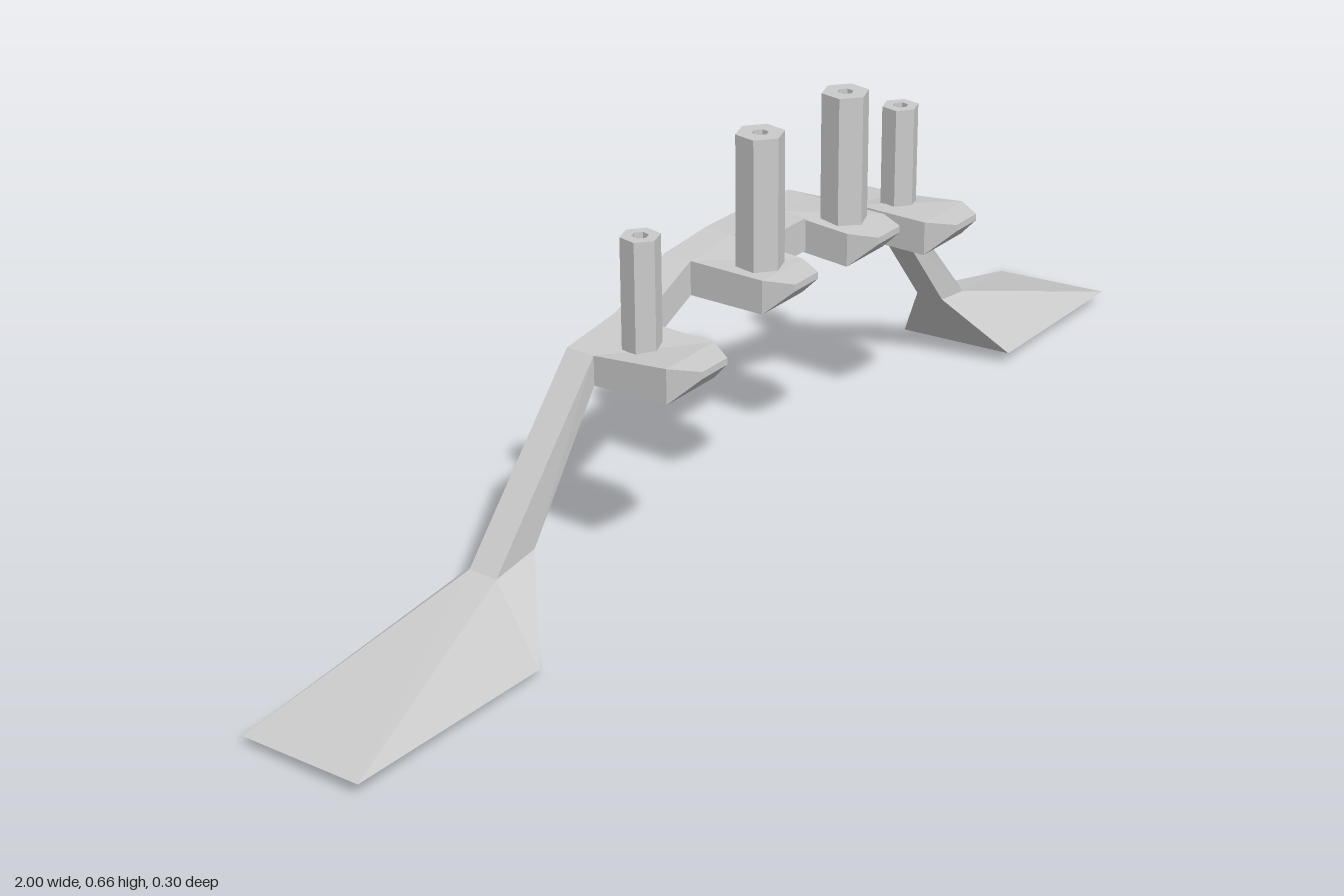
import * as THREE from 'three';

const mat = new THREE.MeshStandardMaterial({ color: 0xcccccc, flatShading: true });

function add(parent, geometry, name) {
  const mesh = new THREE.Mesh(geometry, mat);
  mesh.name = name;
  parent.add(mesh);
  return mesh;
}

// Skins a row of four-cornered sections and closes both ends.
function loft(sections) {
  const pos = [];
  const quad = (a, b, c, d) => pos.push(...a, ...b, ...c, ...a, ...c, ...d);
  for (let s = 0; s < sections.length - 1; s++) {
    const a = sections[s], b = sections[s + 1];
    for (let i = 0; i < 4; i++) {
      const j = (i + 1) % 4;
      quad(a[i], b[i], b[j], a[j]);
    }
  }
  const first = sections[0], last = sections[sections.length - 1];
  quad(first[0], first[1], first[2], first[3]);
  quad(last[3], last[2], last[1], last[0]);
  const g = new THREE.BufferGeometry();
  g.setAttribute('position', new THREE.Float32BufferAttribute(pos, 3));
  g.computeVertexNormals();
  return g;
}

// Section across x: top front, top back, bottom back, bottom front.
const bar = (xt, yt, xb, yb, zf = -0.03, zr = -0.08) =>
  [[xt, yt, zf], [xt, yt, zr], [xb, yb, zr], [xb, yb, zf]];

// Tab section across z: top right, top left, bottom left, bottom right.
const tabSection = (x0, x1, z, top0, top1, bot0, bot1) =>
  [[x0, top0, z], [x1, top1, z], [x1, bot1, z], [x0, bot0, z]];

export function createModel() {
  const model = new THREE.Group();
  model.name = 'archedBracket';

  // Faceted arch
  const arch = [
    [-0.37, 0.377, 0.329], [-0.255, 0.392, 0.335], [-0.135, 0.446, 0.39],
    [-0.03, 0.455, 0.4], [0.09, 0.455, 0.4], [0.193, 0.446, 0.39],
    [0.315, 0.392, 0.335], [0.43, 0.377, 0.329],
  ].map(([x, t, b]) => bar(x, t, x, b));
  add(model, loft(arch), 'arch');

  // Wider plate at the crown
  const web = add(model, new THREE.BoxGeometry(0.12, 0.055, 0.055), 'crownPlate');
  web.position.set(0.03, 0.4275, -0.0025);

  // Sloping legs
  const rightNeck = bar(-0.61, 0.118, -0.525, 0.13, -0.022, -0.073);
  const leftNeck = bar(0.65, 0.122, 0.58, 0.13, -0.022, -0.073);
  add(model, loft([rightNeck, arch[0]]), 'rightLeg');
  add(model, loft([arch[arch.length - 1], leftNeck]), 'leftLeg');

  // Flared wedge feet, each ending in its sole
  const rightSole = [[-1, 0.021, 0.07], [-1, 0.015, -0.145], [-0.63, 0, -0.145], [-0.63, 0.012, 0.07]];
  const leftSole = [[1, 0.02, 0.07], [1, 0.008, -0.148], [0.66, 0.01, -0.148], [0.66, 0.021, 0.07]];
  add(model, loft([rightSole, rightNeck]), 'rightFoot');
  add(model, loft([leftNeck, leftSole]), 'leftFoot');

  // Forward tabs with bevelled tips, each carrying a hollow six-sided post
  const tabs = [
    { x0: -0.37, x1: -0.255, t: [0.377, 0.392], b: [0.329, 0.335], top: 0.392, bot: 0.335 },
    { x0: -0.135, x1: -0.03, t: [0.446, 0.455], b: [0.39, 0.4], top: 0.447, bot: 0.392, tall: true },
    { x0: 0.09, x1: 0.193, t: [0.455, 0.446], b: [0.4, 0.39], top: 0.447, bot: 0.392, tall: true },
    { x0: 0.315, x1: 0.43, t: [0.392, 0.377], b: [0.335, 0.329], top: 0.392, bot: 0.335 },
  ];
  for (const { x0, x1, t, b, top, bot, tall } of tabs) {
    const cx = (x0 + x1) / 2;
    add(model, loft([
      tabSection(x0, x1, -0.03, ...t, ...b),
      tabSection(x0, x1, 0.103, top, top, bot, bot),
      tabSection(cx - 0.03, cx + 0.03, 0.147, top - 0.003, top - 0.003, top - 0.014, top - 0.014),
    ]), 'tab');

    const r = tall ? 0.038 : 0.0305;
    const base = top - 0.012;
    const h = (tall ? 0.657 : 0.558) - base;
    const profile = [[r, 0], [r, h], [0.013, h], [0.013, h - 0.04], [0, h - 0.04]]
      .map(([x, y]) => new THREE.Vector2(x, y));
    const post = add(model, new THREE.LatheGeometry(profile, 6, -Math.PI / 18), 'post');
    post.position.set(tall ? cx - 0.001 : cx, base, tall ? 0.0625 : 0.015);
  }
  return model;
}
